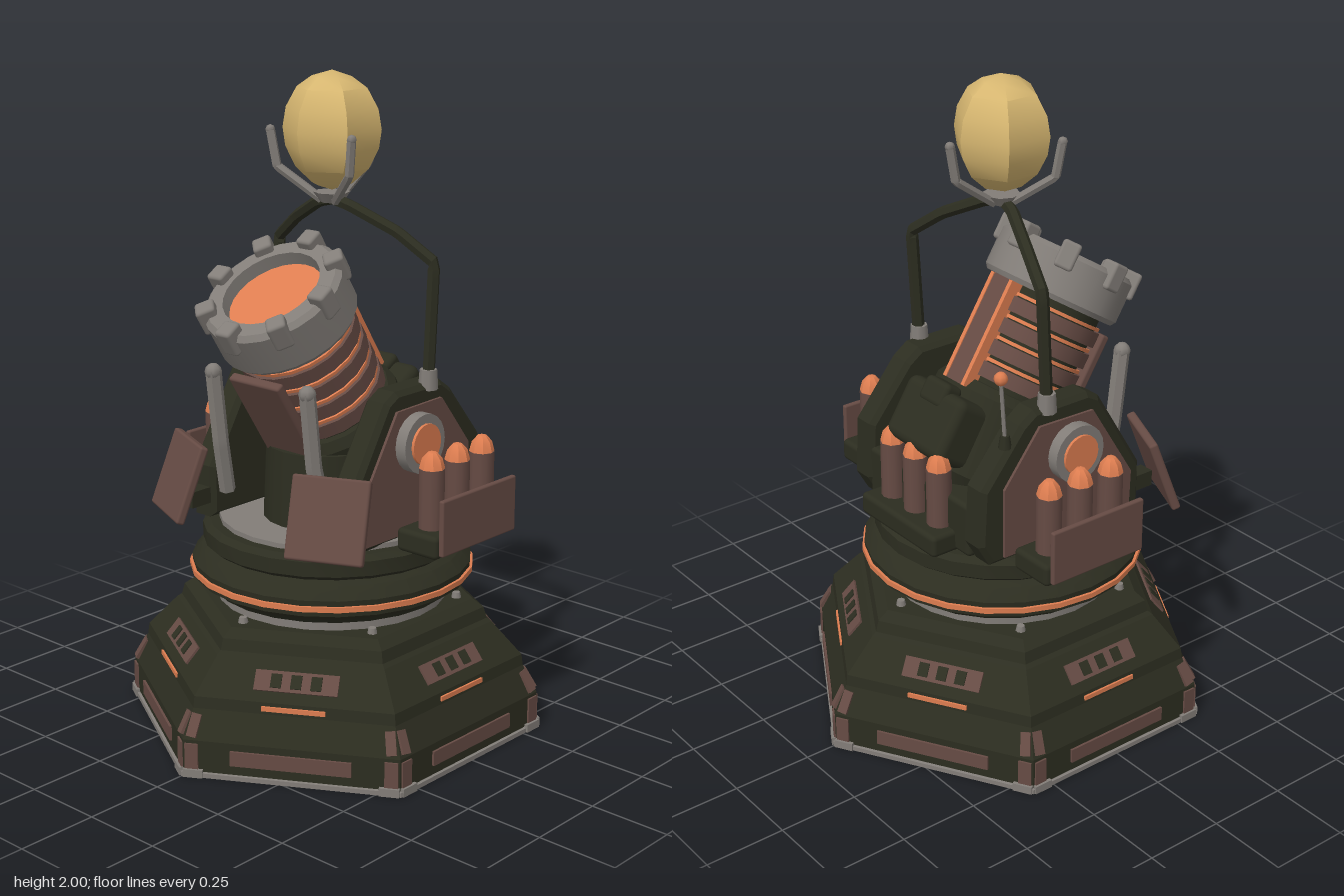
import * as THREE from 'three';
import { toCreasedNormals } from 'three/addons/utils/BufferGeometryUtils.js';
import { RoundedBoxGeometry } from 'three/addons/geometries/RoundedBoxGeometry.js';

const mat = (name, color) => Object.assign(new THREE.MeshStandardMaterial({ color }), { name });
const dark = mat('darkArmour', 0x2c2d20);
const brown = mat('brownPlate', 0x664b44);
const grey = mat('greyMetal', 0x827d78);
const orange = mat('orangeGlow', 0xdd7d50);
const gold = mat('goldCrystal', 0xd6b670);

const V = (x, y, z) => new THREE.Vector3(x, y, z);

function add(parent, name, geo, material, x = 0, y = 0, z = 0) {
  const m = new THREE.Mesh(geo, material);
  m.name = name;
  m.position.set(x, y, z);
  parent.add(m);
  return m;
}
function sub(parent, name, x = 0, y = 0, z = 0) {
  const g = new THREE.Group();
  g.name = name;
  g.position.set(x, y, z);
  parent.add(g);
  return g;
}
const box = (w, h, d) => new THREE.BoxGeometry(w, h, d);
const soft = (w, h, d, r = 0.015) => new RoundedBoxGeometry(w, h, d, 2, r);
const cyl = (r0, r1, h, n = 20) => new THREE.CylinderGeometry(r1, r0, h, n);
const lathe = (pts, n, crease = 0.5) =>
  toCreasedNormals(new THREE.LatheGeometry(pts.map(p => new THREE.Vector2(...p)), n), crease);
const pipe = (pts, r) =>
  toCreasedNormals(new THREE.TubeGeometry(new THREE.CatmullRomCurve3(pts, false, 'catmullrom', 0), 30, r, 6), 0.3);

// Side profile given as [z, y], extruded along x and centred
function sideShape(pts, depth, bevel) {
  const shape = new THREE.Shape(pts.map(([z, y]) => new THREE.Vector2(-z, y)));
  const g = new THREE.ExtrudeGeometry(shape, {
    depth, bevelEnabled: bevel > 0, bevelSize: bevel, bevelThickness: bevel, bevelOffset: -bevel, bevelSegments: 1
  });
  return g.translate(0, 0, -depth / 2).rotateY(Math.PI / 2);
}

function buildBase(root) {
  const base = sub(root, 'base');
  add(base, 'hexBody', lathe([[0, 0.004], [0.645, 0.004], [0.645, 0.115], [0.6, 0.2], [0.595, 0.235], [0.5, 0.335],
    [0.485, 0.345], [0.475, 0.38], [0.44, 0.405], [0, 0.405]], 6, 0.05), dark);
  add(base, 'bottomRim', lathe([[0.64, 0.002], [0.655, 0.002], [0.655, 0.016], [0.64, 0.018]], 6, 0.05), grey);
  for (let k = 0; k < 6; k++) {
    // Flat sides: lower panel, light strip, slotted vent
    const side = sub(base, 'baseSide');
    side.rotation.y = Math.PI / 6 + k * Math.PI / 3;
    add(side, 'lowerPanel', box(0.36, 0.045, 0.012), brown, 0, 0.07, 0.56);
    add(side, 'lightStrip', box(0.19, 0.014, 0.012), orange, 0, 0.217, 0.517);
    const vent = sub(side, 'vent', 0, 0.285, 0.474);
    vent.rotation.x = -0.69;
    add(vent, 'ventPlate', box(0.25, 0.062, 0.014), brown);
    for (const x of [-0.075, -0.015, 0.045]) add(vent, 'ventSlot', box(0.032, 0.042, 0.008), dark, x + 0.015, 0, 0.007);
    // Corners: clips and bolts
    const corner = sub(base, 'baseCorner');
    corner.rotation.y = k * Math.PI / 3;
    for (const s of [1, -1]) {
      const clip = add(corner, 'cornerClip', box(0.03, 0.07, 0.014), brown, s * 0.018, 0.155, 0.615);
      clip.rotation.set(-0.5, s * 0.5, s * -0.15, 'YXZ');
      add(corner, 'cornerPost', box(0.04, 0.09, 0.012), brown, s * 0.022, 0.06, 0.632).rotation.y = s * 0.52;
      add(corner, 'cornerFoot', box(0.06, 0.025, 0.012), grey, s * 0.03, 0.014, 0.636).rotation.y = s * 0.52;
    }
    add(corner, 'topBolt', cyl(0.016, 0.012, 0.02, 8), grey, 0, 0.412, 0.39);
  }
}

function buildRing(root) {
  const ring = sub(root, 'turntable');
  add(ring, 'lowerBearing', cyl(0.355, 0.355, 0.035, 24), grey, 0, 0.42, 0);
  add(ring, 'ringBody', lathe([[0, 0.435], [0.37, 0.435], [0.385, 0.45], [0.425, 0.475], [0.43, 0.525], [0.4, 0.56],
    [0.375, 0.57], [0.395, 0.585], [0.395, 0.63], [0.375, 0.645], [0, 0.645]], 24), dark);
  add(ring, 'ringLight', lathe([[0.42, 0.492], [0.437, 0.492], [0.437, 0.508], [0.42, 0.508]], 24), orange);
  add(ring, 'deck', cyl(0.345, 0.345, 0.02, 24), grey, 0, 0.65, 0);
}

// Three shells standing in a tray; +z is the outward side
function ammoRack(parent, name) {
  const rack = sub(parent, name);
  add(rack, 'tray', soft(0.37, 0.07, 0.15), dark, 0, 0.685, 0);
  for (const x of [-0.115, 0, 0.115]) {
    add(rack, 'shellCase', cyl(0.038, 0.038, 0.19, 12), brown, x, 0.805, 0);
    add(rack, 'shellTip', lathe([[0.038, 0.9], [0.03, 0.93], [0.014, 0.948], [0, 0.952]], 8, 0.6), orange, x, 0, 0);
  }
  return rack;
}

function buildSides(root) {
  const cheek = sideShape([[0.28, 0.65], [0.28, 0.81], [0.115, 1.08], [0.07, 1.105], [-0.13, 1.105], [-0.18, 1.07],
    [-0.32, 0.9], [-0.33, 0.72], [-0.29, 0.65]], 0.06, 0.015);
  const panel = sideShape([[0.23, 0.67], [0.235, 0.8], [0.08, 1.05], [-0.12, 1.055], [-0.25, 0.89], [-0.25, 0.67]], 0.012, 0);
  for (const s of [1, -1]) {
    const side = sub(root, s > 0 ? 'leftSide' : 'rightSide');
    add(side, 'cheekArmour', cheek, dark, s * 0.277, 0, 0);
    add(side, 'cheekPanel', panel, brown, s * 0.325, 0, 0);
    add(side, 'trunnion', cyl(0.09, 0.09, 0.05), grey, s * 0.343, 0.945, 0).rotation.z = Math.PI / 2;
    add(side, 'trunnionLight', cyl(0.062, 0.062, 0.03), orange, s * 0.362, 0.945, 0).rotation.z = Math.PI / 2;

    // Side shells behind an armour plate
    const rack = ammoRack(side, 'sideAmmoRack');
    rack.rotation.y = s * Math.PI / 2;
    rack.position.set(s * 0.44, 0, -0.06);
    add(rack, 'rackPlate', soft(0.34, 0.17, 0.018, 0.006), brown, 0, 0.745, 0.08);

    // Angled front shield with its strut
    const shield = add(side, 'frontShield', soft(0.235, 0.245, 0.028, 0.008), brown, s * 0.305, 0.785, 0.35);
    shield.rotation.set(-0.35, s * 0.42, 0, 'YXZ');
    add(side, 'shieldStrut', pipe([V(s * 0.2, 0.74, 0.25), V(s * 0.19, 0.9, 0.285), V(s * 0.19, 1.13, 0.312)], 0.025), grey);
    add(side, 'strutCap', new THREE.SphereGeometry(0.026, 8, 6), grey, s * 0.19, 1.125, 0.312);
    add(side, 'shieldBracket', box(0.05, 0.05, 0.13), dark, s * 0.27, 0.72, 0.29);

    // Arch leg with socket
    add(side, 'archSocket', cyl(0.03, 0.026, 0.06, 8), grey, s * 0.31, 1.115, -0.08);
    add(side, 'archLeg', pipe([V(s * 0.31, 1.1, -0.08), V(s * 0.31, 1.46, -0.1), V(s * 0.2, 1.54, -0.065),
      V(s * 0.06, 1.61, -0.01), V(0, 1.625, 0)], 0.019), dark);
  }
}

function buildBack(root) {
  add(root, 'pedestal', cyl(0.19, 0.18, 0.24), dark, 0, 0.77, 0.03);
  add(root, 'rearHull', soft(0.5, 0.17, 0.12), dark, 0, 0.74, -0.26);
  const rack = ammoRack(root, 'rearAmmoRack');
  rack.rotation.y = Math.PI;
  rack.position.z = -0.325;
  add(root, 'breechHousing', soft(0.27, 0.2, 0.14, 0.03), dark, 0, 0.98, -0.24).rotation.x = 0.57;
  add(root, 'breechCap', soft(0.11, 0.08, 0.07, 0.018), dark, 0, 1.07, -0.23).rotation.x = 0.57;
  // Antenna
  add(root, 'antennaBase', cyl(0.02, 0.014, 0.04, 8), dark, -0.3, 1.03, -0.225);
  add(root, 'antennaRod', pipe([V(-0.3, 1.03, -0.225), V(-0.3, 1.23, -0.24)], 0.006), grey);
  add(root, 'antennaTip', new THREE.SphereGeometry(0.021, 8, 6), orange, -0.3, 1.232, -0.24);
}

function buildBarrel(root) {
  const gun = sub(root, 'barrel', 0, 0.96, -0.02);
  gun.rotation.x = 0.57;
  add(gun, 'breech', lathe([[0, -0.25], [0.17, -0.25], [0.205, -0.21], [0.21, 0.03], [0.19, 0.06], [0, 0.06]], 20), dark);
  add(gun, 'barrelCore', cyl(0.17, 0.17, 0.34, 20), dark, 0, 0.21, 0);
  for (let i = 0; i < 4; i++) {
    add(gun, 'barrelBand', cyl(0.188, 0.188, 0.046, 20), brown, 0, 0.1 + i * 0.07, 0);
    add(gun, 'barrelLight', cyl(0.182, 0.182, 0.01, 20), orange, 0, 0.132 + i * 0.07, 0);
  }
  // Spine along the upper rear, plate along the front
  add(gun, 'spine', box(0.075, 0.34, 0.04), brown, 0, 0.2, -0.19);
  for (const s of [1, -1]) add(gun, 'spineLight', box(0.014, 0.34, 0.046), orange, s * 0.043, 0.2, -0.19);
  add(gun, 'frontPlate', soft(0.2, 0.31, 0.03, 0.008), brown, 0, 0.18, 0.2);
  // Crowned muzzle
  add(gun, 'muzzle', lathe([[0.15, 0.37], [0.205, 0.37], [0.216, 0.385], [0.216, 0.505], [0.2, 0.52], [0.152, 0.52],
    [0.145, 0.46]], 24), grey);
  add(gun, 'muzzleGlow', cyl(0.148, 0.148, 0.01, 24), orange, 0, 0.475, 0);
  for (let k = 0; k < 8; k++) {
    const pivot = sub(gun, 'muzzleTooth');
    pivot.rotation.y = k * Math.PI / 4;
    add(pivot, 'tooth', soft(0.058, 0.085, 0.06, 0.01), grey, 0, 0.505, 0.2);
  }
}

function buildCrystal(root) {
  const top = sub(root, 'crystalHolder');
  add(top, 'hub', cyl(0.035, 0.055, 0.03, 8), grey, 0, 1.63, 0);
  for (let k = 0; k < 3; k++) {
    const prong = sub(top, 'prong');
    prong.rotation.y = Math.PI + k * Math.PI * 2 / 3;
    add(prong, 'prongArm', pipe([V(0, 1.62, 0.03), V(0, 1.715, 0.165), V(0, 1.825, 0.185)], 0.014), grey);
    add(prong, 'prongTip', new THREE.SphereGeometry(0.015, 6, 4), grey, 0, 1.822, 0.185);
  }
  add(top, 'crystal', lathe([[0, 1.65], [0.06, 1.67], [0.11, 1.715], [0.14, 1.775], [0.148, 1.83], [0.138, 1.89],
    [0.105, 1.95], [0.06, 1.982], [0, 2]], 6, 0.75), gold);
}

export function createModel() {
  const root = new THREE.Group();
  root.name = 'turret';
  [buildBase, buildRing, buildSides, buildBack, buildBarrel, buildCrystal].forEach(build => build(root));
  return root;
}
